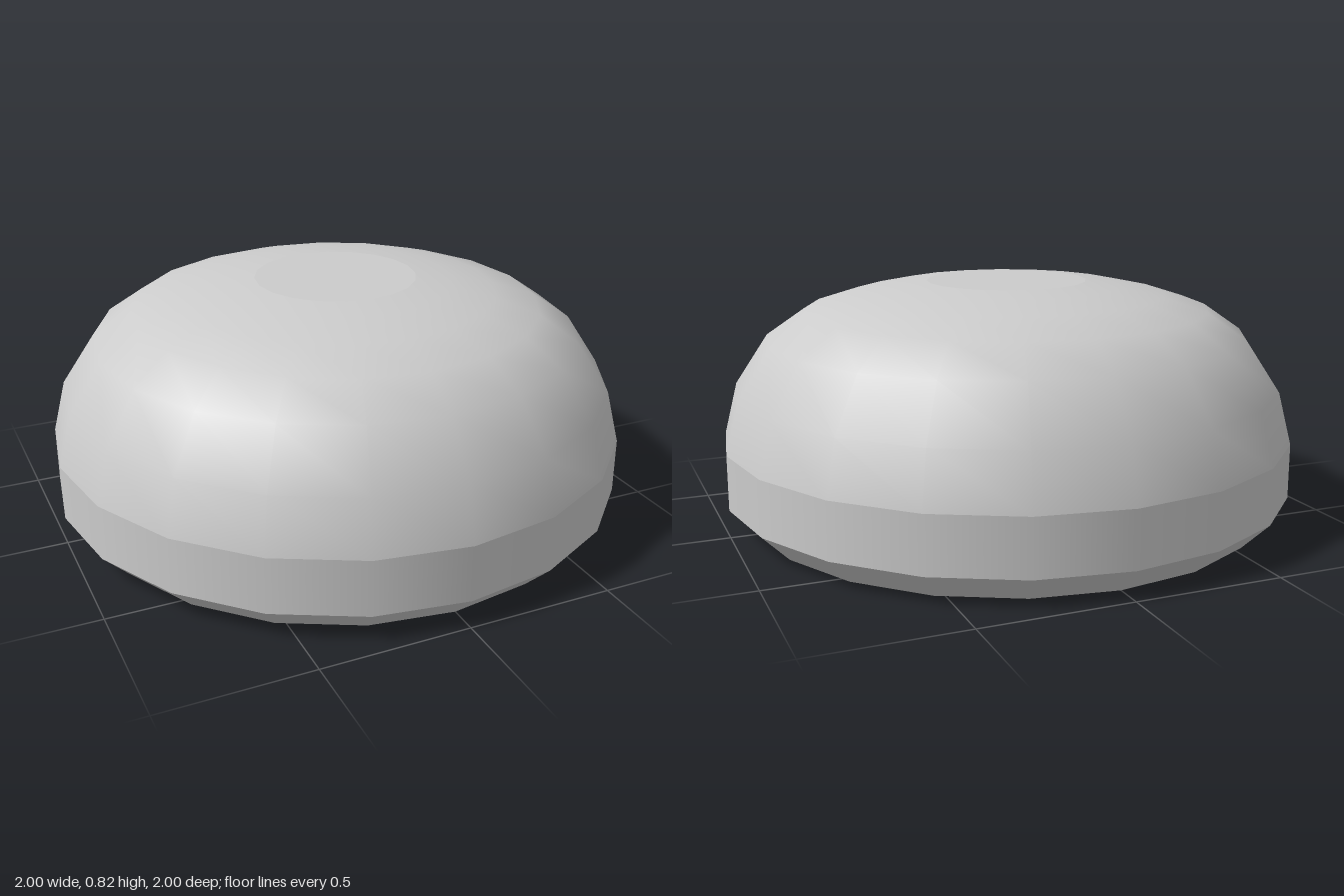
import * as THREE from 'three';

const SIDES = 20;

export function createModel() {
  const model = new THREE.Group();
  model.name = 'domedButton';
  const material = new THREE.MeshStandardMaterial({ color: 0xcccccc });

  // Each section is its own lathe: smooth inside, sharp edge between sections
  const addSection = (name, profile) => {
    const points = profile.map(([r, y]) => new THREE.Vector2(r, y));
    const mesh = new THREE.Mesh(new THREE.LatheGeometry(points, SIDES), material);
    mesh.name = name;
    model.add(mesh);
  };

  addSection('base', [[0, 0], [0.905, 0]]);
  addSection('bottomChamfer', [[0.905, 0], [1, 0.095]]);
  addSection('sideBand', [[1, 0.095], [1, 0.285]]);
  addSection('dome', [
    [1, 0.285], [0.954, 0.465], [0.84, 0.637], [0.708, 0.728],
    [0.555, 0.777], [0.405, 0.808], [0.28, 0.822],
  ]);
  addSection('topDisc', [[0.28, 0.822], [0, 0.822]]);

  return model;
}
